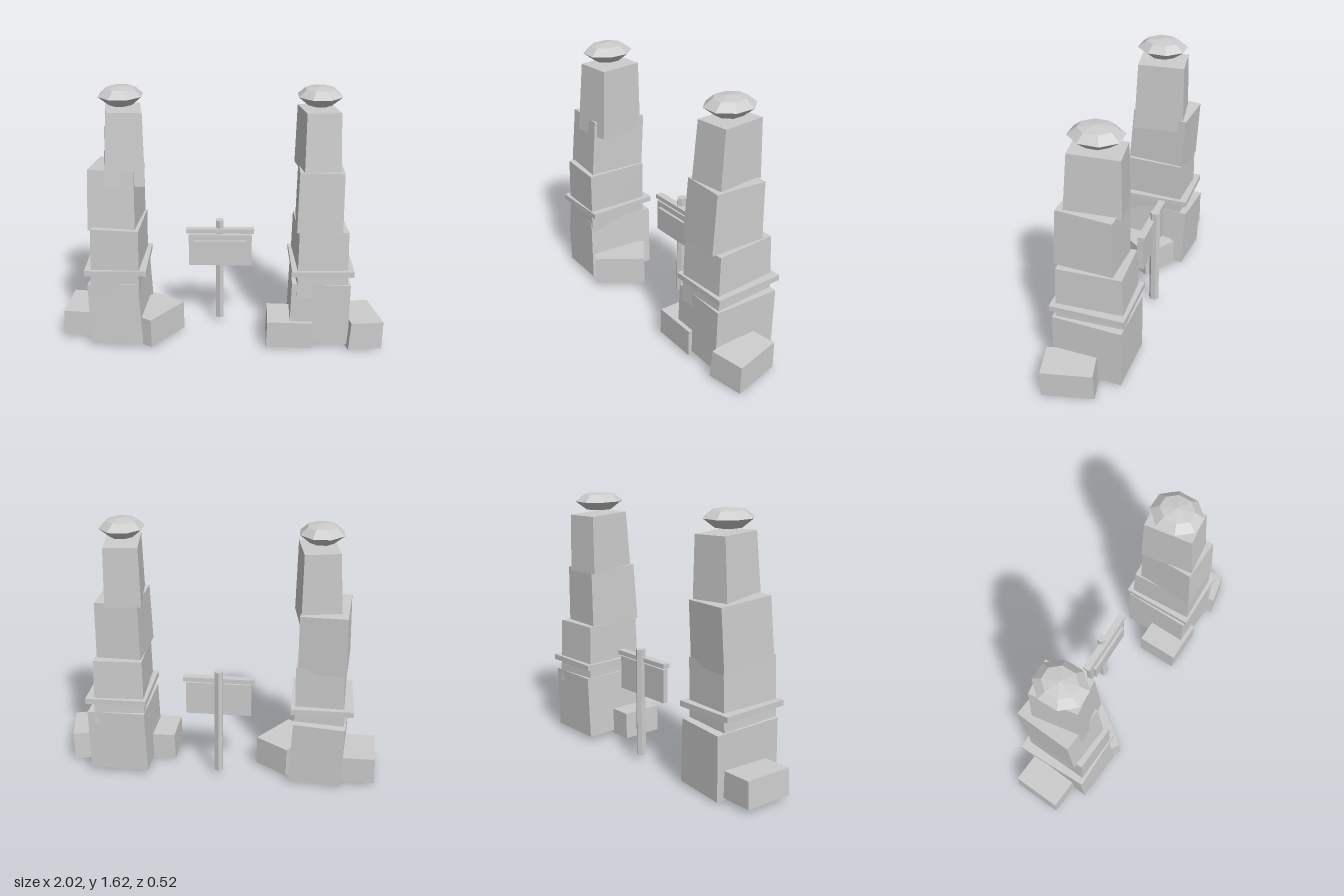
import * as THREE from 'three';

const stone = new THREE.MeshStandardMaterial({ color: 0xcccccc, flatShading: true });
stone.name = 'pale grey stone';

function add(parent, name, geometry, x, y, z) {
  const mesh = new THREE.Mesh(geometry, stone);
  mesh.name = name;
  mesh.position.set(x, y, z);
  parent.add(mesh);
  return mesh;
}

// Rough hewn block: bottom size, top size, height range and a small rotation
function block(parent, name, x, z, y0, y1, bottom, top, rot = [0, 0, 0]) {
  const g = new THREE.BoxGeometry(1, y1 - y0, 1);
  const p = g.attributes.position;
  for (let i = 0; i < p.count; i++) {
    const s = p.getY(i) > 0 ? top : bottom;
    p.setX(i, p.getX(i) * s[0]);
    p.setZ(i, p.getZ(i) * s[1]);
  }
  g.computeVertexNormals();
  add(parent, name, g, x, (y0 + y1) / 2, z).rotation.set(...rot);
}

// Faceted eight-sided cap stone hovering over a pillar
function capStone(parent, x, z) {
  const profile = [[0, 1.52], [0.075, 1.522], [0.138, 1.575], [0.09, 1.618], [0, 1.632]]
    .map(([r, y]) => new THREE.Vector2(r, y));
  const cap = add(parent, 'capStone', new THREE.LatheGeometry(profile, 8, Math.PI / 8), x, 0, z);
  cap.scale.z = 1.16;
}

function collar(parent, x) {
  add(parent, 'collar', new THREE.BoxGeometry(0.38, 0.035, 0.455), x, 0.517, -0.028);
}

export function createModel() {
  const model = new THREE.Group();
  model.name = 'stoneGateway';

  // Pillar on the model's right
  const right = new THREE.Group();
  right.name = 'rightPillar';
  block(right, 'baseBlock', -0.64, -0.035, 0.03, 0.43, [0.33, 0.45], [0.315, 0.45], [-0.03, -0.08, 0.04]);
  block(right, 'lowerBlock', -0.637, -0.015, 0.38, 0.795, [0.3, 0.4], [0.29, 0.4], [0, -0.05, -0.03]);
  block(right, 'middleBlock', -0.645, -0.045, 0.765, 1.14, [0.29, 0.37], [0.28, 0.36], [-0.07, -0.08, -0.015]);
  block(right, 'upperBlock', -0.59, -0.035, 1.05, 1.495, [0.245, 0.32], [0.21, 0.29], [-0.02, 0.14, -0.025]);
  block(right, 'outerRock', -0.88, -0.07, 0.035, 0.2, [0.23, 0.31], [0.22, 0.31], [0, -0.06, -0.03]);
  block(right, 'innerRock', -0.435, 0.02, 0.025, 0.21, [0.24, 0.33], [0.24, 0.33], [0, -0.56, 0.01]);
  right.children.at(-1).rotation.y = -0.62;
  collar(right, -0.645);
  capStone(right, -0.595, -0.03);

  // Pillar on the model's left
  const left = new THREE.Group();
  left.name = 'leftPillar';
  block(left, 'baseBlock', 0.62, -0.025, 0.04, 0.44, [0.37, 0.43], [0.36, 0.43], [-0.015, -0.03, -0.02]);
  block(left, 'lowerBlock', 0.617, -0.025, 0.36, 0.78, [0.315, 0.42], [0.3, 0.39], [0, 0.04, 0]);
  block(left, 'middleBlock', 0.605, 0, 0.775, 1.145, [0.275, 0.36], [0.265, 0.335], [-0.035, -0.04, -0.01]);
  block(left, 'upperBlock', 0.585, -0.03, 1.13, 1.495, [0.22, 0.33], [0.205, 0.295], [-0.035, 0.12, 0]);
  block(left, 'innerRock', 0.43, 0.08, 0.025, 0.195, [0.285, 0.265], [0.28, 0.265], [0, -0.02, -0.02]);
  block(left, 'outerRock', 0.875, 0.06, 0.02, 0.2, [0.22, 0.32], [0.21, 0.31], [0.02, 0.2, -0.06]);
  collar(left, 0.625);
  capStone(left, 0.585, -0.03);

  // Signpost between the pillars
  const sign = new THREE.Group();
  sign.name = 'signpost';
  const post = add(sign, 'post', new THREE.CylinderGeometry(0.032, 0.032, 0.685, 6), -0.01, 0.388, -0.178);
  post.scale.x = 0.9;
  add(sign, 'board', new THREE.BoxGeometry(0.405, 0.21, 0.035), -0.007, 0.535, -0.152);
  add(sign, 'raisedPanel', new THREE.BoxGeometry(0.34, 0.145, 0.02), -0.007, 0.532, -0.127);
  add(sign, 'topRail', new THREE.BoxGeometry(0.435, 0.028, 0.045), -0.007, 0.665, -0.157);

  model.add(right, left, sign);
  return model;
}
